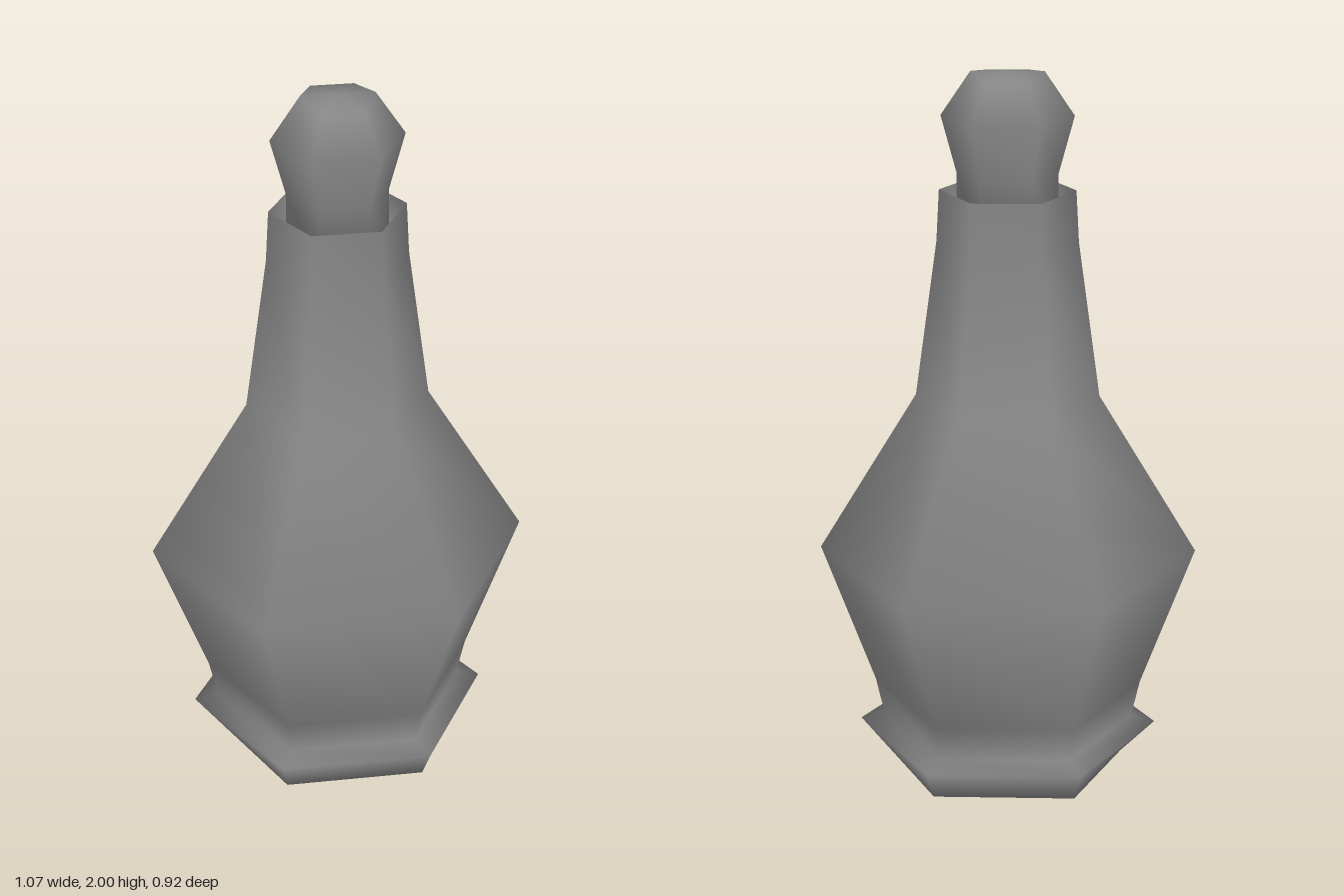
import * as THREE from 'three';
import { mergeVertices } from 'three/addons/utils/BufferGeometryUtils.js';

const material = new THREE.MeshStandardMaterial({ color: 0x868686, side: THREE.DoubleSide });

// Six-sided turned solid with corners on the x axis. On the end ring at endY,
// the four corners off the x axis are spread out and shifted in height.
function hexTurned(name, profile, endY = 0, spread = 1, lift = 0) {
  const points = profile.map(([r, y]) => new THREE.Vector2(r, y));
  let geo = new THREE.LatheGeometry(points, 6, Math.PI / 2);
  const pos = geo.attributes.position;
  for (let i = 0; i < pos.count; i++) {
    if (Math.abs(pos.getY(i) - endY) < 1e-4 && Math.abs(pos.getZ(i)) > 0.02) {
      pos.setXYZ(i, pos.getX(i) * spread, endY + lift, pos.getZ(i) * spread);
    }
  }
  // Weld the seam so shading runs smoothly all the way round
  geo.deleteAttribute('normal');
  geo.deleteAttribute('uv');
  geo = mergeVertices(geo, 1e-4);
  geo.computeVertexNormals();
  const mesh = new THREE.Mesh(geo, material);
  mesh.name = name;
  return mesh;
}

export function createModel() {
  const group = new THREE.Group();
  group.name = 'bottle';

  // Flared foot, swelling belly and neck
  group.add(hexTurned('bottleBody', [
    [0, 0], [0.33, 0], [0.427, 0.095], [0.36, 0.115], [0.383, 0.22],
    [0.533, 0.63], [0.256, 1.09], [0.195, 1.53], [0.187, 1.675],
  ], 0, 1.19, 0.015));

  // Inner wall of the neck, closing in on the stopper
  group.add(hexTurned('neckLining', [[0.187, 1.675], [0.175, 1.6], [0.138, 1.58]]));

  // Knob stopper set into the neck
  group.add(hexTurned('stopper', [
    [0, 1.58], [0.14, 1.58], [0.138, 1.72], [0.181, 1.88], [0.1, 2], [0, 2],
  ], 2, 1.17, -0.015));

  return group;
}
